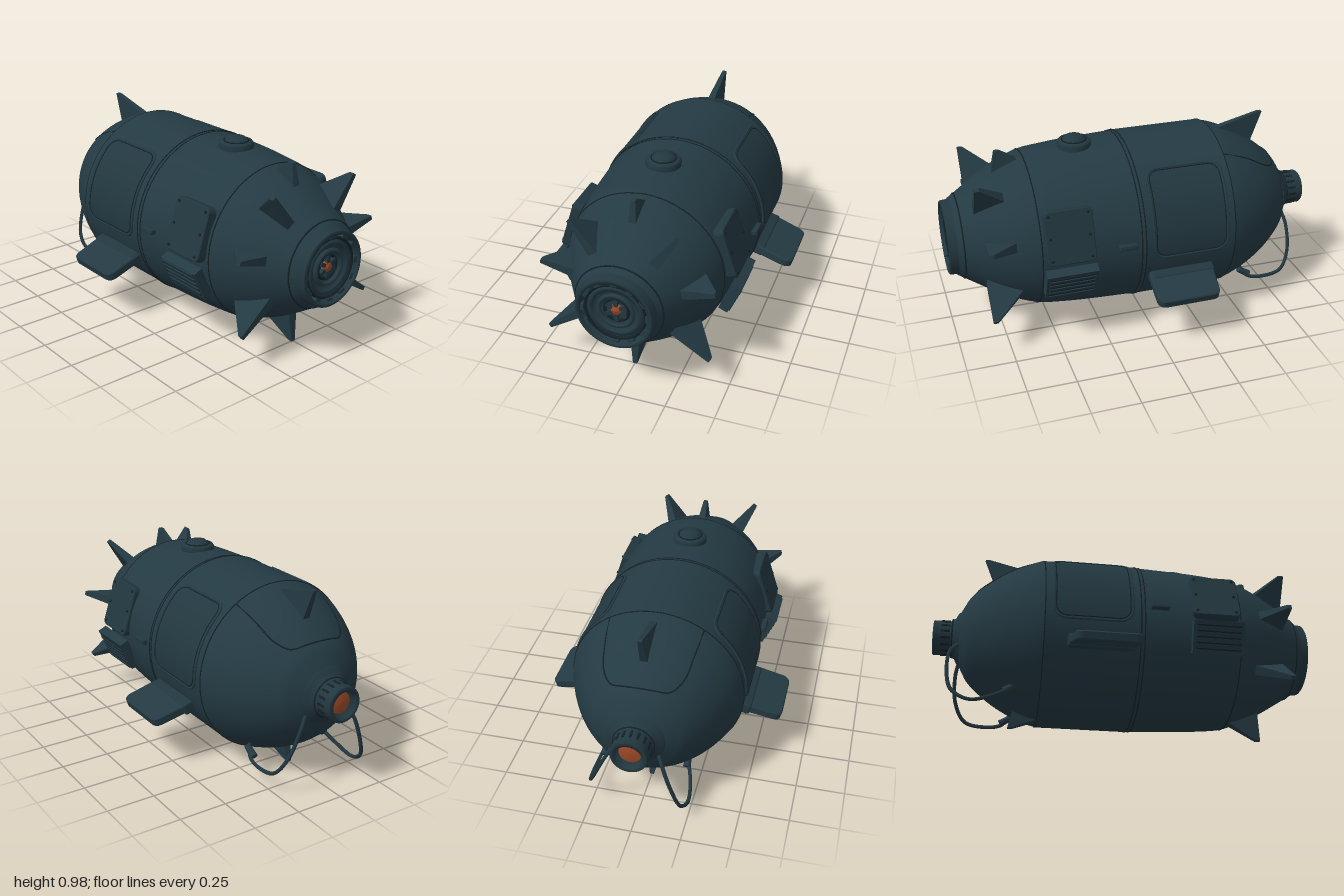
import * as THREE from 'three';
import { RoundedBoxGeometry } from 'three/addons/geometries/RoundedBoxGeometry.js';

const mat = (name, color) => Object.assign(new THREE.MeshStandardMaterial({ color }), { name });
const CY = 0.5; // height of the hull axis

export function createModel() {
  const steel = mat('dark teal steel', 0x243a43);
  const plate = mat('plate teal', 0x22373f);
  const seamDark = mat('seam black', 0x142126);
  const glow = mat('ember orange', 0x9c4a28);
  for (const m of [steel, plate, seamDark, glow]) m.side = THREE.DoubleSide;

  const model = new THREE.Group();
  model.name = 'capsule';
  const add = (name, geo, material, parent = model) => {
    const m = new THREE.Mesh(geo, material);
    m.name = name;
    parent.add(m);
    return m;
  };
  // Local x runs along the hull, local z points outward at angle a
  const place = (o, x, y, z, a) => { o.position.set(x, y, z); o.rotation.x = -a; return o; };
  const radial = (o, x, a, r) => place(o, x, CY + r * Math.sin(a), r * Math.cos(a), a);
  const sideAngle = (s, a) => (s > 0 ? a : Math.PI - a);

  // Hull sections as [x, radius] profiles
  const curve = (pts, n) => new THREE.SplineCurve(pts.map(p => new THREE.Vector2(...p))).getPoints(n);
  const nose = curve([[-0.87, 0.12], [-0.84, 0.18], [-0.8, 0.24], [-0.7, 0.325], [-0.6, 0.385], [-0.5, 0.428], [-0.44, 0.445]], 24);
  const middle = curve([[-0.44, 0.447], [0.05, 0.447]], 2);
  const tail = curve([[0.05, 0.445], [0.3, 0.435], [0.45, 0.424], [0.57, 0.408], [0.7, 0.358], [0.8, 0.302], [0.9, 0.238], [0.955, 0.203]], 24);
  const profile = [...nose, ...middle, ...tail];
  const hullR = x => {
    for (let i = 1; i < profile.length; i++) {
      const p = profile[i - 1], q = profile[i];
      if (x <= q.x && q.x > p.x) return p.y + (q.y - p.y) * Math.max(0, (x - p.x) / (q.x - p.x));
    }
    return 0.2;
  };
  const turned = (pts, seg = 64) =>
    new THREE.LatheGeometry(pts.map(p => new THREE.Vector2(p.y, p.x)), seg).rotateZ(-Math.PI / 2).translate(0, CY, 0);
  const turnedXR = (pts, seg) => turned(pts.map(p => new THREE.Vector2(...p)), seg);
  add('noseShell', turned(nose), steel);
  add('middleShell', turned(middle), steel);
  add('tailShell', turned(tail), steel);

  // Point lying on the hull surface
  const onHull = (x, a, off = 0) => {
    const r = hullR(x) + off;
    return new THREE.Vector3(x, CY + r * Math.sin(a), r * Math.cos(a));
  };
  const tube = (name, pts, r, material, closed = false, n = 64) =>
    add(name, new THREE.TubeGeometry(new THREE.CatmullRomCurve3(pts, closed), n, r, 6, closed), material);
  const ring = (name, x, r, t, material) => {
    const m = add(name, new THREE.TorusGeometry(r, t, 6, 64), material);
    m.rotation.y = Math.PI / 2;
    m.position.set(x, CY, 0);
  };

  // Ring seams
  for (const x of [-0.44, 0.045, 0.065, 0.57]) ring('hullSeam', x, hullR(x), 0.0035, seamDark);
  ring('tailSeam', 0.925, hullR(0.925), 0.004, seamDark);

  // Curved seam on the upper nose
  const U = [[-0.44, 32], [-0.58, 34], [-0.7, 37], [-0.765, 32], [-0.785, 16], [-0.79, 0]];
  const uPts = [...U, ...U.slice(0, -1).reverse().map(([x, d]) => [x, -d])];
  tube('noseSeam', uPts.map(([x, d]) => onHull(x, Math.PI / 2 + d * Math.PI / 180)), 0.004, seamDark);

  // Tail socket: rim, recess and nested rings
  add('tailRim', turnedXR([[0.94, 0.205], [0.965, 0.196], [0.995, 0.194], [1, 0.188], [1, 0.172], [0.96, 0.168],
    [0.955, 0.14], [0.975, 0.135], [0.975, 0.115], [0.945, 0.11], [0.945, 0]]), plate);
  ring('socketRing', 0.975, 0.15, 0.008, seamDark);
  ring('socketRing', 0.965, 0.085, 0.012, steel);
  ring('socketRing', 0.955, 0.06, 0.009, seamDark);
  add('tailCore', turnedXR([[0.95, 0.032], [0.965, 0.026], [0.97, 0]], 20), glow);
  for (let i = 0; i < 12; i++) {
    const a = (i / 12) * Math.PI * 2;
    radial(add('socketLug', new THREE.BoxGeometry(0.03, 0.035, 0.016), steel), 0.974, a, 0.162);
    if (i % 2) radial(add('corePetal', new THREE.BoxGeometry(0.02, 0.02, 0.035), plate), 0.958, a, 0.04);
  }

  // Nose coupling with ribs and a glowing inner disc
  add('coupling', turnedXR([[-0.96, 0], [-0.96, 0.062], [-1, 0.068], [-1, 0.088], [-0.995, 0.092], [-0.91, 0.092], [-0.905, 0.1],
    [-0.885, 0.108], [-0.875, 0.13], [-0.86, 0.145]], 40), plate);
  add('couplingCore', turnedXR([[-0.972, 0], [-0.968, 0.055], [-0.96, 0.056]], 24), glow);
  ring('couplingSeam', -0.9, 0.1, 0.005, seamDark);
  for (let i = 0; i < 16; i++)
    radial(add('couplingRib', new THREE.BoxGeometry(0.045, 0.012, 0.008), seamDark), -0.935, i * Math.PI / 8, 0.091);

  // Tapered fins: root from x0 to x1, narrow tip at tx and radius tr
  const fin = (name, deg, x0, x1, tx, tr, rootT = 0.055, tipT = 0.022, tipW = 0.012) => {
    const box = new THREE.BoxGeometry(2, 2, 2).toNonIndexed();
    const p = box.attributes.position;
    for (let i = 0; i < p.count; i++) {
      const sx = p.getX(i), sy = p.getY(i), x = sx < 0 ? x0 : x1;
      if (p.getZ(i) > 0) p.setXYZ(i, tx + sx * tipW, sy * tipT / 2, tr);
      else p.setXYZ(i, x, sy * rootT / 2, hullR(x) - 0.03);
    }
    box.computeVertexNormals();
    radial(add(name, box, steel), 0, deg * Math.PI / 180, 0);
  };
  fin('tailFin', 90, 0.57, 0.74, 0.7, 0.452, 0.045);
  fin('tailFin', -90, 0.55, 0.74, 0.742, 0.49);
  for (const [deg, x0, x1, tx, tr] of [[55, 0.69, 0.86, 0.85, 0.462], [12.5, 0.66, 0.83, 0.825, 0.452], [-35, 0.64, 0.83, 0.825, 0.512]])
    for (const d of [deg, 180 - deg]) fin('tailFin', d, x0, x1, tx, tr);
  fin('noseFin', 90, -0.68, -0.44, -0.74, 0.49, 0.04);
  fin('noseFin', -90, -0.56, -0.38, -0.575, 0.488, 0.05);

  // Top dome hatch
  const dome = add('topDome', new THREE.LatheGeometry([[0.09, -0.03], [0.09, 0.018], [0.082, 0.03], [0.06, 0.032], [0.056, 0.04],
    [0.045, 0.05], [0.025, 0.056], [0, 0.058]].map(p => new THREE.Vector2(...p)), 32), plate);
  dome.position.set(0.295, 0.93, 0);
  const domeRing = add('domeSeam', new THREE.TorusGeometry(0.062, 0.004, 6, 32).rotateX(Math.PI / 2), seamDark);
  domeRing.position.set(0.295, 0.963, 0);

  // Rounded rectangle on the hull, w along x and h along the arc
  const roundRect = (w, h, c) => {
    const s = new THREE.Shape();
    s.absarc(w - c, h - c, c, 0, Math.PI / 2);
    s.absarc(c - w, h - c, c, Math.PI / 2, Math.PI);
    s.absarc(c - w, c - h, c, Math.PI, Math.PI * 1.5);
    s.absarc(w - c, c - h, c, Math.PI * 1.5, Math.PI * 2);
    return s.closePath();
  };
  const doorW = 0.2, doorH = 0.236, doorC = 0.065, doorR = 0.447;
  const doorPanel = mid => {
    const g = new THREE.PlaneGeometry(2, 2, 4, 40), p = g.attributes.position;
    for (let i = 0; i < p.count; i++) {
      const v = p.getY(i) * doorH, e = Math.max(0, Math.abs(v) - (doorH - doorC));
      const w = doorW - doorC + Math.sqrt(Math.max(0, doorC * doorC - e * e));
      const q = onHull(-0.198 + p.getX(i) * w, mid + v / doorR, 0.006);
      p.setXYZ(i, q.x, q.y, q.z);
    }
    g.computeVertexNormals();
    return g;
  };

  // Wing plate outline, rounded at the outer corners
  const wing = new THREE.Shape();
  wing.moveTo(-0.17, 0);
  wing.lineTo(0.165, 0);
  wing.lineTo(0.175, 0.18);
  wing.quadraticCurveTo(0.175, 0.22, 0.135, 0.22);
  wing.lineTo(-0.11, 0.22);
  wing.quadraticCurveTo(-0.14, 0.22, -0.145, 0.19);
  wing.closePath();
  const wingGeo = new THREE.ExtrudeGeometry(wing, { depth: 0.035, bevelThickness: 0.006, bevelSize: 0.006, bevelSegments: 1 })
    .translate(0, 0, -0.0175).rotateX(Math.PI / 2);

  for (const s of [1, -1]) {
    // Door with raised frame
    const mid = sideAngle(s, 0.41);
    add('door', doorPanel(mid), plate);
    const edge = roundRect(doorW, doorH, doorC).getSpacedPoints(72).slice(0, -1);
    tube('doorFrame', edge.map(e => onHull(-0.198 + e.x, mid + e.y / doorR, 0.003)), 0.007, steel, true, 144);
    const inner = roundRect(doorW - 0.012, doorH - 0.012, doorC - 0.01).getSpacedPoints(72).slice(0, -1);
    tube('doorSeam', inner.map(e => onHull(-0.198 + e.x, mid + e.y / doorR, 0.006)), 0.003, seamDark, true, 144);

    // Side wing and its mounting strip
    place(add('sideWing', wingGeo, steel), -0.15, 0.337, s * 0.405, sideAngle(s, -0.29));
    place(add('wingMount', new RoundedBoxGeometry(0.34, 0.065, 0.06, 2, 0.012), plate), -0.155, 0.325, s * 0.435, sideAngle(s, -0.29));

    // Riveted service hatch
    const hatch = radial(new THREE.Group(), 0.432, sideAngle(s, 0.31), 0.427);
    hatch.name = 'serviceHatch';
    hatch.rotation.y = 0;
    model.add(hatch);
    const hatchGeo = new THREE.ExtrudeGeometry(roundRect(0.12, 0.133, 0.025), { depth: 0.045, bevelThickness: 0.004, bevelSize: 0.004, bevelSegments: 1 });
    add('hatchPlate', hatchGeo.translate(0, 0, -0.027), plate, hatch);
    for (const ix of [-1, 1]) for (const iy of [-1, 0, 1])
      add('rivet', new THREE.CylinderGeometry(0.007, 0.008, 0.008, 8).rotateX(Math.PI / 2), seamDark, hatch)
        .position.set(ix * 0.1, iy * 0.112, 0.024);

    // Louvred vent below the hatch
    const vent = place(new THREE.Group(), 0.437, 0.392, s * 0.437, sideAngle(s, -0.42));
    vent.name = 'vent';
    model.add(vent);
    add('ventBox', new THREE.BoxGeometry(0.265, 0.17, 0.05), steel, vent);
    for (let i = 0; i < 5; i++) {
      const y = -0.06 + i * 0.03;
      add('ventGap', new THREE.BoxGeometry(0.23, 0.007, 0.004), seamDark, vent).position.set(0, y, 0.026);
      add('ventSlat', new THREE.BoxGeometry(0.235, 0.014, 0.012), plate, vent).position.set(0, y + 0.013, 0.026);
    }

    // Grab bar
    radial(add('grabBar', new RoundedBoxGeometry(0.095, 0.026, 0.04, 2, 0.006), plate), 0.142, sideAngle(s, 0.09), 0.448);
  }

  // Hoses hanging below the coupling, with end fittings
  const hose = (pts, name) => tube(name, pts.map(p => new THREE.Vector3(...p)), 0.01, plate, false, 60);
  hose([[-0.86, 0.42, 0.11], [-0.9, 0.37, 0.14], [-0.91, 0.25, 0.18], [-0.88, 0.12, 0.22], [-0.79, 0.065, 0.24],
    [-0.69, 0.09, 0.23], [-0.57, 0.165, 0.19]], 'frontHose');
  hose([[-0.86, 0.42, -0.12], [-0.875, 0.35, -0.16], [-0.865, 0.22, -0.22], [-0.81, 0.13, -0.26], [-0.7, 0.11, -0.27],
    [-0.61, 0.125, -0.26], [-0.56, 0.19, -0.23]], 'rearHose');
  for (const [x, y, z] of [[-0.59, 0.155, 0.195], [-0.59, 0.145, -0.245]])
    add('hoseFitting', new THREE.CylinderGeometry(0.016, 0.02, 0.07, 12).rotateZ(-1), steel).position.set(x, y, z);

  return model;
}
